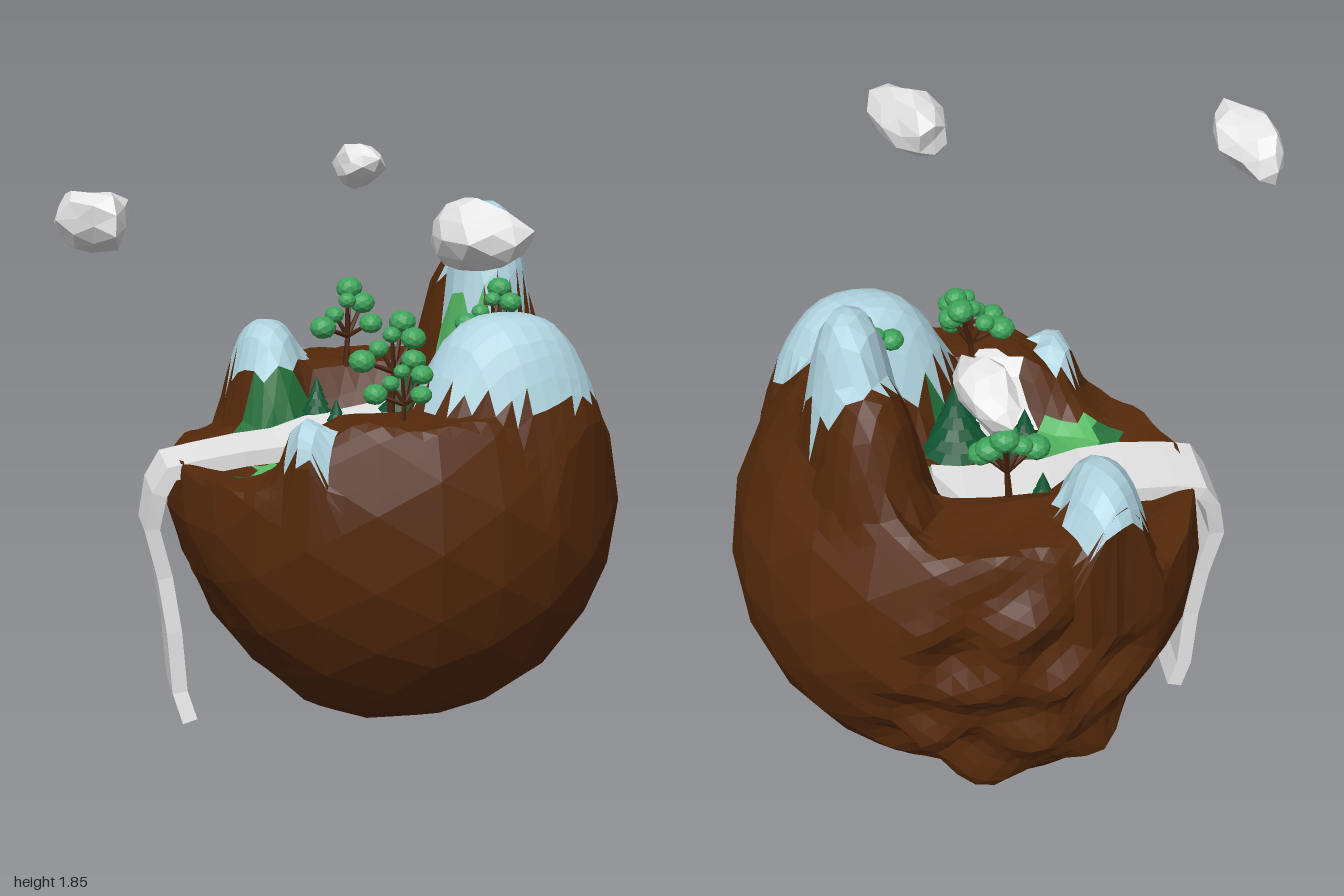
import * as THREE from 'three';

const mat = (name, color, side = THREE.FrontSide) => {
  const m = new THREE.MeshStandardMaterial({ color, side });
  m.name = name;
  return m;
};
const M = {
  soil: mat('soil brown', 0x54290b),
  snow: mat('snow blue', 0xb0d4e0),
  stone: mat('pale grey', 0xe6e6e6, THREE.DoubleSide),
  grass: mat('grass green', 0x55b862),
  moss: mat('moss green', 0x246f3a),
  leaf: mat('leaf green', 0x3fa45a),
  pine: mat('pine green', 0x0e5432),
  bark: mat('bark brown', 0x4a2510),
};

const R = 0.75, C = new THREE.Vector3(0.18, 0.755, -0.135);
const { lerp, smoothstep } = THREE.MathUtils;
const noise = (x, y, z) =>
  (Math.sin(x * 1.7 + y * 0.9 + 1.3) + Math.sin(y * 1.9 - z * 1.1 + 0.4) + Math.sin(z * 1.6 + x * 1.2 - 2)) / 3;

// Hills: centre x, z, radii, top and drop at the radius
const hills = [
  { x: 0.535, z: -0.29, rx: 0.14, rz: 0.175, top: 1.7, drop: 0.3, snow: true },
  { x: 0.46, z: 0.25, rx: 0.28, rz: 0.2, top: 1.42, drop: 0.24, snow: true },
  { x: -0.165, z: -0.58, rx: 0.125, rz: 0.19, top: 1.27, drop: 0.14, snow: true },
  { x: -0.19, z: 0.38, rx: 0.07, rz: 0.11, top: 1.14, drop: 0.1, snow: true },
  { x: 0.5, z: -0.41, rx: 0.15, rz: 0.2, top: 1.53, drop: 0.22, snow: false },
];
const hillQ = (h, x, z) => Math.hypot((x - h.x) / h.rx, (z - h.z) / h.rz);

// Height of the ground: sphere capped to a rim, hollowed to a valley, raised by hills
function shapeY(x, y, z) {
  if (y < 0.8) return y;
  const rim = lerp(0.91, 1.13, smoothstep(x, -0.36, -0.05)) + 0.33 * smoothstep(x, 0.35, 0.62);
  const base = Math.min(y, rim + 0.015 * noise(x * 14, 0, z * 14));
  const floor = 0.88 + 0.09 * smoothstep(x, -0.4, 0.3) + 0.01 * noise(x * 20, 3, z * 20);
  const q = Math.hypot((x - 0.08) / 0.6, (z + 0.1) / 0.38);
  let h = Math.min(base, lerp(floor, base, smoothstep(q, 0.7, 1.05)));
  for (const k of hills) h = Math.max(h, k.top - k.drop * hillQ(k, x, z) ** 3);
  return h;
}
const groundAt = (x, z) =>
  shapeY(x, C.y + Math.sqrt(Math.max(0, R * R - (x - C.x) ** 2 - (z - C.z) ** 2)), z);

// Craggy region on the back, a bulge beneath it and a shallow dent under the waterfall
const cragDir = new THREE.Vector3(-0.15, -0.3, -0.95).normalize();
const bulgeDir = new THREE.Vector3(-0.2, -0.72, -0.68).normalize();
const dentDir = new THREE.Vector3(-0.82, -0.55, 0.05).normalize();
function shapePoint(p) {
  const d = p.clone().normalize();
  const crag = smoothstep(d.dot(cragDir), 0.7, 0.88);
  const bulge = smoothstep(d.dot(bulgeDir), 0.88, 1);
  const dent = smoothstep(d.dot(dentDir), 0.8, 1);
  const rough = -0.025 + 0.055 * noise(d.x * 9, d.y * 10, d.z * 9);
  p.addScaledVector(d, crag * rough + bulge * 0.08 - dent * 0.035).add(C);
  p.y = shapeY(p.x, p.y, p.z);
  return p;
}

// Ground colour from position
const inBox = (x, z, x0, x1, z0, z1) => x > x0 && x < x1 && z > z0 && z < z1;
function paint({ x, y, z }) {
  if (y < 0.8) return 'soil';
  if (inBox(x, z, 0.5, 0.57, 0.09, 0.15)) return 'grass';
  for (const h of hills) {
    if (h.snow && hillQ(h, x, z) < 1.02 && y > h.top - h.drop * 1.3) return 'snow';
  }
  if (Math.hypot((x - 0.03) / 0.11, (z - 0.19) / 0.125) < 1) return 'stone';
  if (inBox(x, z, -0.29, -0.08, -0.04, 0.17) || inBox(x, z, 0.28, 0.47, -0.28, -0.07)) return 'grass';
  if (inBox(x, z, -0.08, 0.27, -0.04, 0.1) || inBox(x, z, -0.31, 0.03, -0.4, -0.3)) return 'moss';
  if (inBox(x, z, -0.37, -0.28, 0.05, 0.14)) return 'moss';
  return 'soil';
}

function flatMesh(geo, material, name) {
  const g = geo.index ? geo.toNonIndexed() : geo;
  g.computeVertexNormals();
  const m = new THREE.Mesh(g, material);
  m.name = name;
  return m;
}
function fromPoints(points) {
  return new THREE.BufferGeometry().setFromPoints(points);
}

// Planet: coarse facets, each split evenly so the top can be sculpted
function planet() {
  const group = new THREE.Group();
  group.name = 'planet';
  const buckets = { soil: [], snow: [], stone: [], grass: [], moss: [] };
  const pos = new THREE.IcosahedronGeometry(R, 3).attributes.position;
  const n = 4;
  for (let f = 0; f < pos.count; f += 3) {
    const [a, b, c] = [0, 1, 2].map(i => new THREE.Vector3().fromBufferAttribute(pos, f + i));
    const at = (i, j) => shapePoint(a.clone().multiplyScalar((n - i - j) / n)
      .addScaledVector(b, i / n).addScaledVector(c, j / n));
    const add = (...t) => {
      const mid = t[0].clone().add(t[1]).add(t[2]).divideScalar(3);
      buckets[paint(mid)].push(...t);
    };
    for (let i = 0; i < n; i++) for (let j = 0; j < n - i; j++) {
      add(at(i, j), at(i + 1, j), at(i, j + 1));
      if (i + j < n - 1) add(at(i + 1, j), at(i + 1, j + 1), at(i, j + 1));
    }
  }
  const names = { soil: 'ground', snow: 'snowCaps', stone: 'palePatch', grass: 'grass', moss: 'moss' };
  for (const k in buckets) group.add(flatMesh(fromPoints(buckets[k]), M[k], names[k]));
  return group;
}

// River and waterfall: rectangular sections [x, y, zBack, zFront]
function river() {
  const path = [
    [0.29, 1.03, -0.2, -0.15], [0.2, 1.02, -0.37, -0.16], [0.08, 1.0, -0.365, -0.13],
    [-0.08, 0.985, -0.33, -0.11], [-0.2, 0.955, -0.3, -0.03], [-0.33, 0.95, -0.27, -0.01],
    [-0.48, 0.93, -0.25, 0], [-0.58, 0.91, -0.25, 0], [-0.63, 0.83, -0.24, 0],
    [-0.655, 0.7, -0.22, -0.02], [-0.615, 0.53, -0.21, -0.03], [-0.59, 0.35, -0.2, -0.02],
    [-0.575, 0.14, -0.2, -0.02], [-0.545, 0.04, -0.2, 0],
  ];
  const t = 0.05;
  const rings = path.map(([x, y, z0, z1], i) => {
    const p = path[Math.max(0, i - 1)], q = path[Math.min(path.length - 1, i + 1)];
    const dx = q[0] - p[0], dy = q[1] - p[1], l = Math.hypot(dx, dy);
    const ox = (-dy / l) * t, oy = (dx / l) * t;
    return [[x, y, z0], [x, y, z1], [x + ox, y + oy, z1], [x + ox, y + oy, z0]].map(v => new THREE.Vector3(...v));
  });
  const pts = [];
  const quad = (a, b, c, d) => pts.push(a, b, c, a, c, d);
  for (let i = 0; i < rings.length - 1; i++) for (let k = 0; k < 4; k++) {
    const m = (k + 1) % 4;
    quad(rings[i][k], rings[i + 1][k], rings[i + 1][m], rings[i][m]);
  }
  quad(...rings[0]);
  quad(...rings[rings.length - 1].slice().reverse());
  return flatMesh(fromPoints(pts), M.stone, 'riverAndWaterfall');
}

// Floating rock: dented, stretched ball
function rock(x, y, z, sx, sy, sz, tilt, seed) {
  const g = new THREE.IcosahedronGeometry(1, 1), p = g.attributes.position, v = new THREE.Vector3();
  for (let i = 0; i < p.count; i++) {
    v.fromBufferAttribute(p, i);
    v.multiplyScalar(1 + 0.22 * noise(v.x * 2.6 + seed, v.y * 2.6, v.z * 2.6 - seed));
    p.setXYZ(i, v.x, v.y, v.z);
  }
  const m = flatMesh(g, M.stone, 'floatingRock');
  m.scale.set(sx, sy, sz);
  m.rotation.set(tilt, 0.33, 0);
  m.position.set(x, y, z);
  return m;
}

// Pine: stacked cones on a short trunk
function pine(x, z, r) {
  const g = new THREE.Group(), tiers = 6, h = r * 2.6;
  g.name = 'pineTree';
  const trunk = flatMesh(new THREE.CylinderGeometry(r * 0.15, r * 0.18, h * 0.3, 6), M.bark, 'pineTrunk');
  trunk.position.y = h * 0.1;
  g.add(trunk);
  for (let i = 0; i < tiers; i++) {
    const cone = flatMesh(new THREE.ConeGeometry(r * (1 - i * 0.14), h * 0.28, 10), M.pine, 'pineTier');
    cone.position.y = h * (0.24 + i * 0.126);
    cone.rotation.y = i * 0.3;
    g.add(cone);
  }
  g.position.set(x, Math.min(groundAt(x, z), 1.1), z);
  return g;
}

// Leafy tree: branches ending in small balls of leaves
function limb(a, b, r) {
  const d = b.clone().sub(a);
  const m = flatMesh(new THREE.CylinderGeometry(r * 0.6, r, d.length(), 5), M.bark, 'branch');
  m.position.copy(a).addScaledVector(d, 0.5);
  m.quaternion.setFromUnitVectors(new THREE.Vector3(0, 1, 0), d.normalize());
  return m;
}
function leafyTree(x, y, z, turn, s) {
  const g = new THREE.Group();
  g.name = 'leafyTree';
  const fork = new THREE.Vector3(0.01, 0.06, 0);
  g.add(limb(new THREE.Vector3(0, -0.08, 0), fork, 0.012));
  const balls = [
    [-0.08, 0.095, 0, 0.038], [-0.03, 0.125, -0.01, 0.028], [0.045, 0.19, -0.035, 0.038],
    [0.065, 0.15, 0, 0.036], [0.05, 0.1, 0.055, 0.034], [0.0, 0.165, 0.01, 0.026],
  ];
  balls.forEach(([bx, by, bz, r], i) => {
    const c = new THREE.Vector3(bx, by, bz);
    g.add(limb(fork, c, 0.008));
    const ball = flatMesh(new THREE.IcosahedronGeometry(r, 1), M.leaf, 'leaves');
    ball.position.copy(c);
    ball.scale.y = 0.85;
    ball.rotation.y = i;
    g.add(ball);
  });
  g.position.set(x, y, z);
  g.rotation.y = turn;
  g.scale.setScalar(s);
  return g;
}

export function createModel() {
  const model = new THREE.Group();
  model.name = 'tinyPlanet';
  model.add(planet(), river());
  model.add(
    rock(-0.835, 1.77, 0.44, 0.1, 0.095, 0.175, -0.2, 0.5),
    rock(0.215, 1.745, 0.81, 0.105, 0.1, 0.2, 0, 2.1),
    rock(0.21, 1.76, -0.865, 0.08, 0.075, 0.135, -0.25, 4),
  );
  for (const p of [[-0.03, -0.01, 0.07], [0.19, -0.02, 0.11], [0.385, -0.17, 0.07], [0.51, -0.06, 0.065], [-0.03, -0.36, 0.07]])
    model.add(pine(...p));
  model.add(
    leafyTree(0.09, 1.12, 0.41, 0, 1),
    leafyTree(0.1, 1.17, 0.21, 0.1, 1.15),
    leafyTree(0.09, 1.15, -0.48, 0.5, 1.2),
    leafyTree(0.46, 1.26, 0.06, 0.2, 1.05),
  );
  // Trunk that carries the raised tree in the valley
  model.add(limb(new THREE.Vector3(0.1, 0.98, 0.21), new THREE.Vector3(0.1, 1.18, 0.21), 0.016));
  return model;
}
